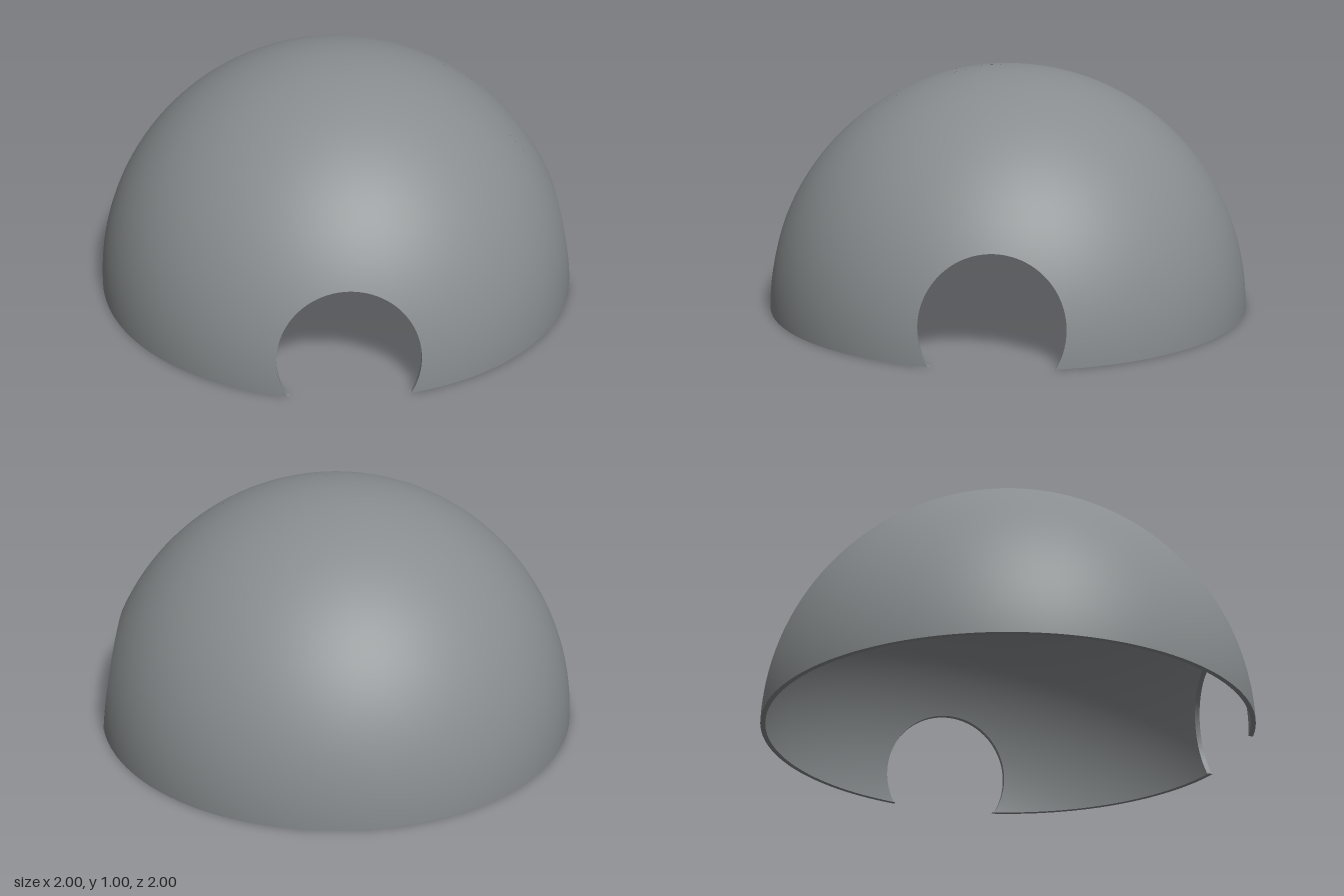
import * as THREE from 'three';

const OUTER = 1, INNER = 0.98;       // shell radii
const HOLE_R = 0.277, HOLE_Y = 0.143; // round doorway radius and centre height
const RAD = Math.PI / 180, TOP = Math.PI / 2;
const DOORS = [-50.8 * RAD, 42.4 * RAD]; // azimuth from +x towards +z

// Point on a sphere of radius R
const point = (R, azimuth, elevation) => new THREE.Vector3(
  R * Math.cos(elevation) * Math.cos(azimuth),
  R * Math.sin(elevation),
  R * Math.cos(elevation) * Math.sin(azimuth));

// Half angle of a doorway, where the horizontal bore is tangent to a meridian
function halfAngle(R) {
  const b = R * R - HOLE_Y ** 2 + HOLE_R ** 2;
  return Math.asin(Math.sqrt((b - Math.sqrt(b * b - 4 * R * R * HOLE_R ** 2)) / (2 * R * R)));
}

// Elevation of the doorway edge at angle d from its axis (sign 1 upper, -1 lower)
function edge(R, d, sign) {
  const c = Math.cos(d) ** 2;
  const k = R * R * Math.sin(d) ** 2 + HOLE_Y ** 2 - HOLE_R ** 2;
  const s = (HOLE_Y + sign * Math.sqrt(Math.max(0, HOLE_Y ** 2 - c * k))) / (R * c);
  return Math.asin(Math.max(0, s));
}

// Grid surface; radial = 1 or -1 gives smooth sphere normals
function sheet(fn, nu, nv, flip, radial = 0) {
  const pos = [], nor = [], idx = [];
  for (let i = 0; i <= nu; i++) for (let j = 0; j <= nv; j++) {
    const p = fn(i / nu, j / nv);
    pos.push(p.x, p.y, p.z);
    p.normalize().multiplyScalar(radial);
    nor.push(p.x, p.y, p.z);
  }
  for (let i = 0; i < nu; i++) for (let j = 0; j < nv; j++) {
    const a = i * (nv + 1) + j, b = a + nv + 1;
    if (flip) idx.push(a, b, a + 1, b, b + 1, a + 1);
    else idx.push(a, a + 1, b, b, a + 1, b + 1);
  }
  const g = new THREE.BufferGeometry();
  g.setAttribute('position', new THREE.Float32BufferAttribute(pos, 3));
  g.setAttribute('normal', new THREE.Float32BufferAttribute(nor, 3));
  g.setIndex(idx);
  if (!radial) g.computeVertexNormals();
  return g;
}

export function createModel() {
  const group = new THREE.Group();
  const grey = new THREE.MeshStandardMaterial({ color: 0x888c8e, side: THREE.DoubleSide });
  grey.name = 'shell grey';
  const add = (name, geometry) => {
    const mesh = new THREE.Mesh(geometry, grey);
    mesh.name = name;
    group.add(mesh);
  };
  const lerp = THREE.MathUtils.lerp;
  const skins = [[OUTER, 'outer', false, 1], [INNER, 'inner', true, -1]];

  // Full-height wall between the doorways
  const walls = [['backWall', DOORS[1], DOORS[0] + 2 * Math.PI, 96], ['sideWall', DOORS[0], DOORS[1], 28]];
  for (const [name, from, to, n] of walls) {
    const azimuth = (R, u) => lerp(from + halfAngle(R), to - halfAngle(R), u);
    for (const [R, skin, flip, radial] of skins)
      add(`${name} ${skin}`, sheet((u, v) => point(R, azimuth(R, u), v * TOP), n, 40, flip, radial));
    add(`${name} baseRim`, sheet((u, v) => {
      const R = v ? INNER : OUTER;
      return point(R, azimuth(R, u), 0);
    }, n, 1, true));
  }

  // Wall above and below each doorway, with the thickness of the cut
  DOORS.forEach((axis, i) => {
    const name = i ? 'frontDoorway' : 'backDoorway';
    const offset = (R, u) => halfAngle(R) * Math.sin((u - 0.5) * Math.PI);
    for (const [R, skin, flip, radial] of skins) {
      add(`${name} above ${skin}`, sheet((u, v) => {
        const d = offset(R, u);
        return point(R, axis + d, lerp(edge(R, d, 1), TOP, v));
      }, 56, 32, flip, radial));
      add(`${name} sill ${skin}`, sheet((u, v) => {
        const d = offset(R, u);
        return point(R, axis + d, v * edge(R, d, -1));
      }, 56, 6, flip, radial));
    }
    for (const sign of [1, -1])
      add(`${name} ${sign > 0 ? 'arch' : 'sill'} edge`, sheet((u, v) => {
        const R = v ? INNER : OUTER, d = offset(R, u);
        return point(R, axis + d, edge(R, d, sign));
      }, 56, 1, sign > 0));
    add(`${name} sill baseRim`, sheet((u, v) => {
      // collapses to nothing where the doorway reaches the ground
      const R = v && edge(OUTER, offset(OUTER, u), -1) > 0 ? INNER : OUTER;
      return point(R, axis + offset(R, u), 0);
    }, 56, 1, true));
    // Remove the ground strip left by the sill edge across the open doorway
    const strip = group.children[group.children.length - 2].geometry;
    const p = strip.attributes.position, kept = [], index = strip.index.array;
    for (let t = 0; t < index.length; t += 3) {
      const tri = [...index.slice(t, t + 3)];
      if (tri.some((k) => p.getY(k) > 1e-6)) kept.push(...tri);
    }
    strip.setIndex(kept);
  });

  return group;
}
